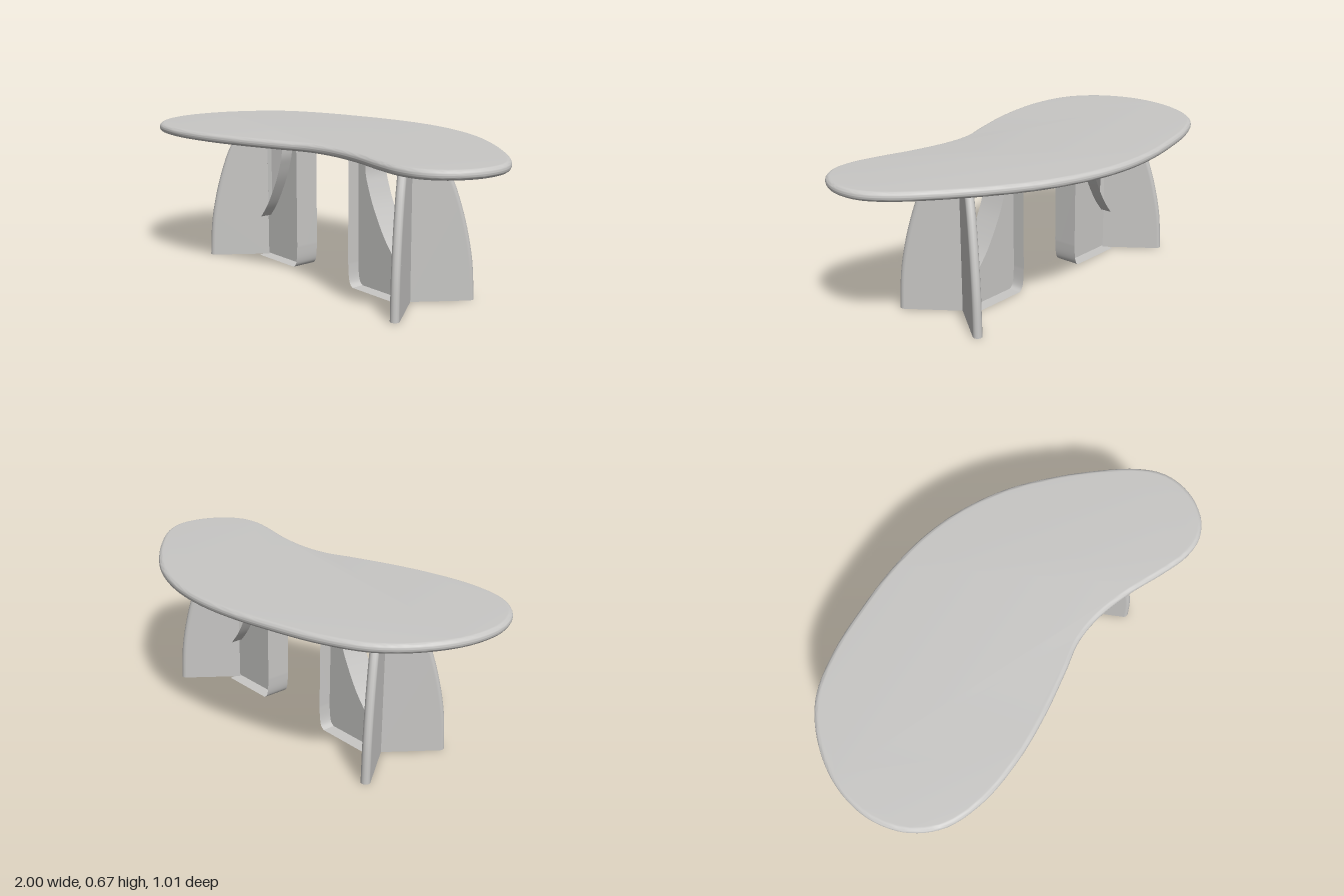
import * as THREE from 'three';
import { toCreasedNormals } from 'three/addons/utils/BufferGeometryUtils.js';

const stone = new THREE.MeshStandardMaterial({ color: 0xc8c7c5, side: THREE.DoubleSide });
stone.name = 'warm grey';

const V2 = (p) => new THREE.Vector2(p[0], p[1]);
const smooth = (pts, n) => new THREE.SplineCurve(pts.map(V2)).getPoints(n);

function part(name, geometry, parent) {
  const mesh = new THREE.Mesh(geometry, stone);
  mesh.name = name;
  parent.add(mesh);
  return mesh;
}

// Kidney shaped top with a fully rounded rim
function tabletopGeometry() {
  const outline = [
    [0, -.51], [.2, -.49], [.4, -.43], [.55, -.355], [.75, -.22], [.92, -.07], [.985, .03],
    [1, .12], [.985, .21], [.93, .305], [.85, .36], [.75, .375], [.62, .355], [.45, .315],
    [.27, .295], [.13, .31], [0, .36], [-.2, .43], [-.4, .48], [-.62, .5], [-.8, .465],
    [-.92, .37], [-.985, .24], [-1, .12], [-.985, 0], [-.94, -.12], [-.87, -.23],
    [-.78, -.315], [-.6, -.4], [-.4, -.455], [-.2, -.495],
  ];
  const curve = new THREE.CatmullRomCurve3(outline.map(([x, z]) => new THREE.Vector3(x, z, 0)), true);
  const shape = new THREE.Shape(curve.getPoints(160).slice(0, -1).map((p) => new THREE.Vector2(p.x, p.y)));
  const geo = new THREE.ExtrudeGeometry(shape, {
    depth: .002, bevelThickness: .019, bevelSize: .02, bevelOffset: -.02, bevelSegments: 6,
  });
  geo.translate(0, 0, -.001).rotateX(Math.PI / 2).translate(0, .65, 0);
  return toCreasedNormals(geo, .6);
}

// Strip of the given width in z that follows a path in the xy plane
function ribbon(path, width) {
  const geo = new THREE.PlaneGeometry(1, width, path.length - 1, 1);
  const pos = geo.attributes.position;
  for (let i = 0; i < pos.count; i++) {
    const p = path[i % path.length];
    pos.setXYZ(i, p.x, p.y, pos.getY(i));
  }
  geo.computeVertexNormals();
  return geo;
}

// Curved outer fin, standing along local +x
const FIN_LENGTH = Math.hypot(.16, .22);
function addFin(parent, name, angle) {
  const fin = new THREE.Group();
  fin.name = name;
  const edge = smooth([[1, 0], [.96, .17], [.85, .33], [.7, .47], [.56, .56], [.42, .635]]
    .map(([f, y]) => [f * FIN_LENGTH, y]), 30);
  const shape = new THREE.Shape([new THREE.Vector2(0, 0), ...edge, new THREE.Vector2(0, .635)]);
  const plate = new THREE.ExtrudeGeometry(shape, { depth: .04, bevelEnabled: false });
  part('finPlate', plate.translate(0, 0, -.02), fin);
  // Rounded outer edge
  const path = new THREE.CatmullRomCurve3(edge.map((p) => new THREE.Vector3(p.x, p.y, 0)));
  part('finEdge', new THREE.TubeGeometry(path, 40, .02, 12), fin);
  fin.rotation.y = angle;
  parent.add(fin);
}

// Pedestal with its hub at the origin; two fins face +x, the bracket faces -x
function createPedestal(name) {
  const pedestal = new THREE.Group();
  pedestal.name = name;
  const angle = Math.atan2(.22, .16);
  addFin(pedestal, 'frontFin', -angle);
  addFin(pedestal, 'backFin', angle);

  // Inner bracket: a thin web with wide flanges along its edges
  const cut = smooth([[-.02, .2], [-.08, .275], [-.145, .39], [-.18, .475], [-.198, .54], [-.2, .635]], 30);
  const end = smooth([[-.28, 0], [-.297, .015], [-.306, .05], [-.31, .11]], 12);
  const foot = [new THREE.Vector2(0, 0), ...end, new THREE.Vector2(-.31, .635)];
  const web = new THREE.Shape([...foot, ...cut.slice().reverse(), new THREE.Vector2(0, .2)]);
  part('bracketWeb', new THREE.ShapeGeometry(web), pedestal);
  part('bracketCurvedFlange', ribbon(cut, .12), pedestal);
  part('bracketFootFlange', ribbon([foot[0], end[0]], .12), pedestal);
  part('bracketEndFlange', ribbon(foot.slice(1), .12), pedestal);
  return pedestal;
}

export function createModel() {
  const table = new THREE.Group();
  table.name = 'table';
  part('tabletop', tabletopGeometry(), table);

  const left = createPedestal('leftPedestal');
  left.position.set(.45, 0, .02);
  const right = createPedestal('rightPedestal');
  right.position.set(-.54, 0, .02);
  right.rotation.y = Math.PI;
  table.add(left, right);
  return table;
}
